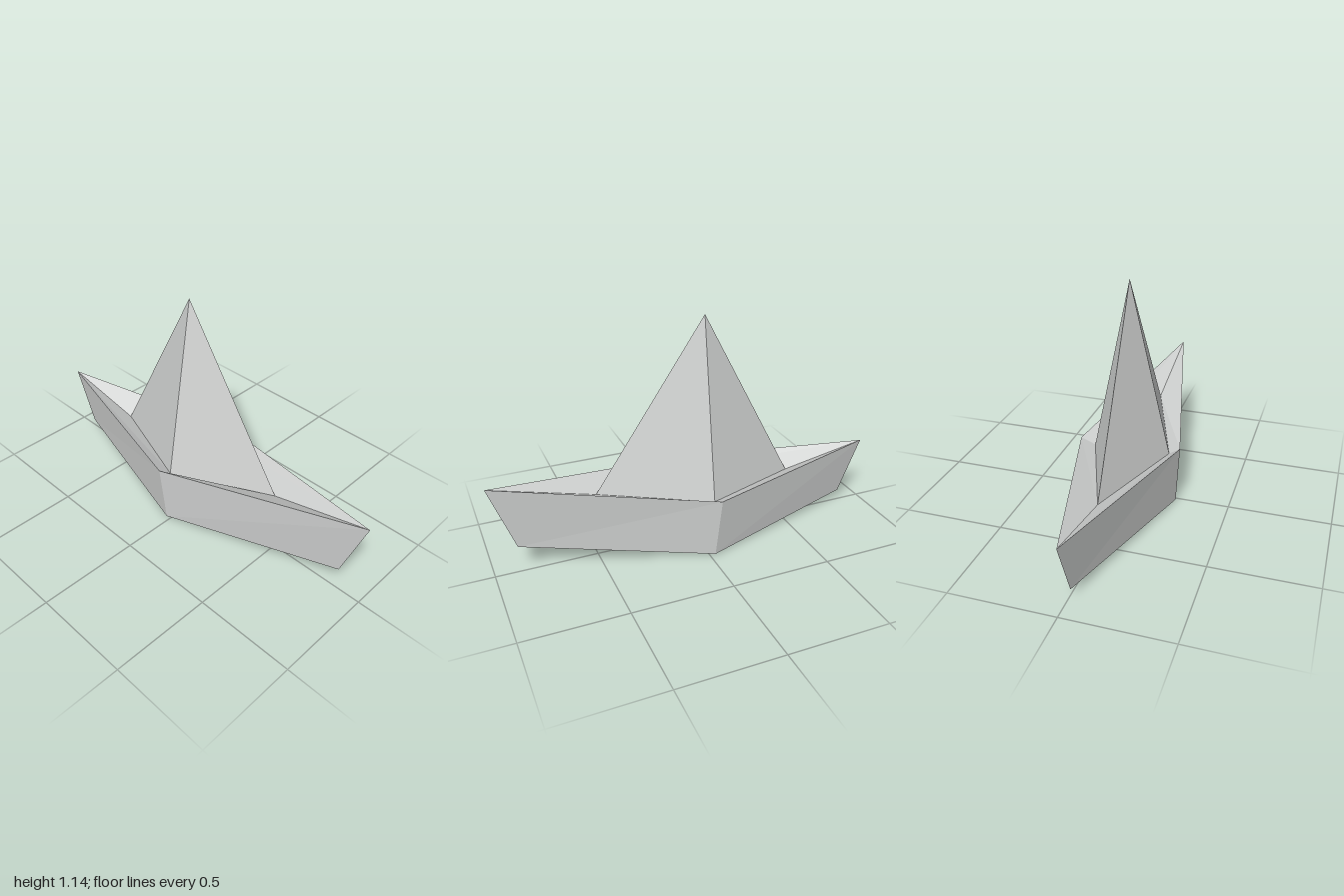
import * as THREE from 'three';

// Four-point rings, in the order bow, left, stern, right
const keel = [[-0.01, 0.13, 0.88], [0.23, 0, -0.03], [-0.01, 0.05, -0.88], [-0.235, 0.005, -0.02]];
const rim = [[-0.01, 0.46, 1], [0.25, 0.3, -0.055], [-0.01, 0.333, -1], [-0.255, 0.307, -0.04]];
const sailBase = [[-0.01, 0.325, 0.49], [0.18, 0.265, -0.045], [-0.01, 0.25, -0.54], [-0.197, 0.265, -0.025]];
const peak = [-0.01, 1.145, -0.07];

// Joins a lower ring to an upper ring, or to a single point, with flat faces
function joinRings(lower, upper) {
  const positions = [];
  const isPoint = typeof upper[0] === 'number';
  for (let i = 0; i < 4; i++) {
    const j = (i + 1) % 4;
    if (isPoint) {
      positions.push(...lower[i], ...lower[j], ...upper);
    } else {
      positions.push(...lower[i], ...lower[j], ...upper[j]);
      positions.push(...lower[i], ...upper[j], ...upper[i]);
    }
  }
  const geometry = new THREE.BufferGeometry();
  geometry.setAttribute('position', new THREE.Float32BufferAttribute(positions, 3));
  geometry.computeVertexNormals();
  return geometry;
}

export function createModel() {
  const paper = new THREE.MeshStandardMaterial({ color: 0xd0d2d1, side: THREE.DoubleSide, flatShading: true });
  paper.name = 'paper';

  const boat = new THREE.Group();
  boat.name = 'paperBoat';
  const addPart = (name, lower, upper) => {
    const mesh = new THREE.Mesh(joinRings(lower, upper), paper);
    mesh.name = name;
    boat.add(mesh);
  };

  addPart('hull', keel, rim);          // outer walls, open underneath
  addPart('innerFold', rim, sailBase); // sloping fold between rim and sail
  addPart('sail', sailBase, peak);     // hollow centre peak
  return boat;
}
